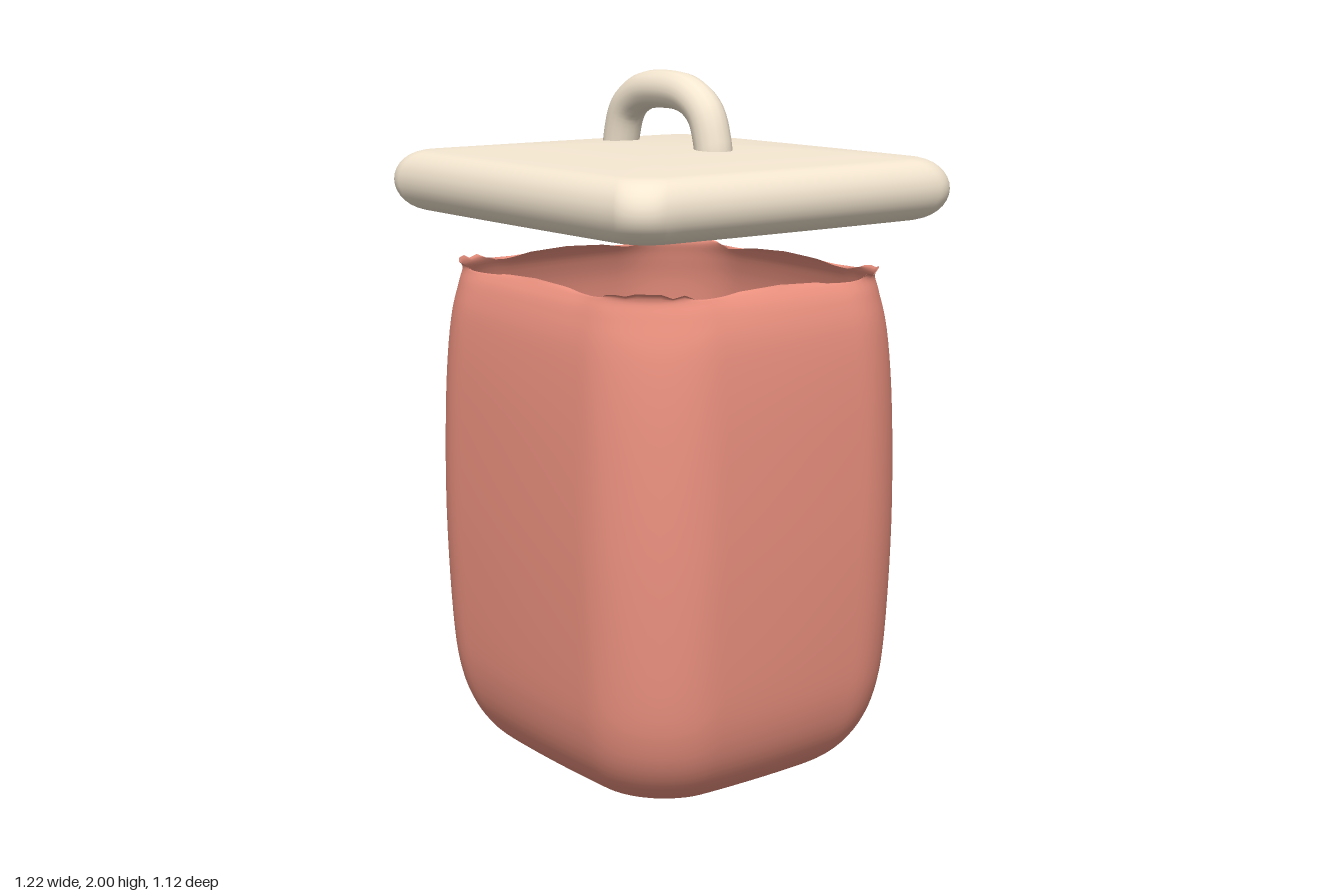
import * as THREE from 'three';

const clay = new THREE.MeshStandardMaterial({ color: 0xed9280, side: THREE.DoubleSide });
const cream = new THREE.MeshStandardMaterial({ color: 0xf5e7d1 });

// Rounded rectangle outline with slightly bowed sides, as [x, z] pairs
function outline(hx, hz, r, bow) {
  const pts = [];
  const corners = [[1, 1], [-1, 1], [-1, -1], [1, -1]];
  corners.forEach(([sx, sz], c) => {
    const cx = sx * (hx - r), cz = sz * (hz - r);
    for (let i = 0; i <= 12; i++) {
      const a = (c + i / 12) * Math.PI / 2;
      pts.push([cx + r * Math.cos(a), cz + r * Math.sin(a)]);
    }
    const [nx, nz] = corners[(c + 1) % 4];
    const a = (c + 1) * Math.PI / 2;
    const ex = nx * (hx - r) + r * Math.cos(a), ez = nz * (hz - r) + r * Math.sin(a);
    const [px, pz] = pts[pts.length - 1];
    for (let i = 1; i < 20; i++) pts.push([px + (ex - px) * i / 20, pz + (ez - pz) * i / 20]);
  });
  return pts.map(([x, z]) => [
    x * (1 - bow * (z / hz) ** 2),
    z * (1 - bow * (x / hx) ** 2),
  ]);
}

// Skin rings of [scale, y], listed bottom to top; warp gives [stretch, lift] per point
function loft(base, rings, warp = () => [1, 0]) {
  const pos = [], idx = [], n = base.length;
  rings.forEach(([s, y], k) => {
    for (const [x, z] of base) {
      const [stretch, lift] = warp(x, z, k);
      pos.push(x * s * stretch, y + lift, z * s * stretch);
    }
    if (k === 0) return;
    for (let i = 0; i < n; i++) {
      const j = (i + 1) % n, a = (k - 1) * n, b = k * n;
      idx.push(a + i, b + i, a + j, a + j, b + i, b + j);
    }
  });
  const geo = new THREE.BufferGeometry();
  geo.setAttribute('position', new THREE.Float32BufferAttribute(pos, 3));
  geo.setIndex(idx);
  geo.computeVertexNormals();
  return geo;
}

const smooth = (pts, count) =>
  new THREE.SplineCurve(pts.map(p => new THREE.Vector2(...p))).getPoints(count).map(p => [p.x, p.y]);

// Uneven height of the open rim, by distance from the middle of a side to the corner
const rimWave = [[0, 0.008], [0.3, 0.002], [0.53, -0.014], [0.6, -0.006], [0.68, 0.012], [0.73, 0.002], [0.78, 0.015], [1, 0.01]];
function rimOffset(t) {
  const i = rimWave.findIndex(([b], n) => n > 0 && t <= b);
  const [a, ya] = rimWave[i - 1], [b, yb] = rimWave[i];
  return ya + (yb - ya) * (t - a) / (b - a);
}

function mesh(name, geometry, material) {
  const m = new THREE.Mesh(geometry, material);
  m.name = name;
  return m;
}

export function createModel() {
  const group = new THREE.Group();
  group.name = 'lidded jar';

  // Open jar: flat-bottomed, bowed walls curling in at the rim, less so at the corners
  const HX = 0.575, HZ = 0.52;
  const wall = smooth([
    [0, 0.005], [0.3, 0.009], [0.57, 0.03], [0.75, 0.075], [0.87, 0.15], [0.945, 0.26], [0.98, 0.42],
    [1, 0.75], [0.99, 1.08], [0.96, 1.3], [0.915, 1.4], [0.87, 1.445], [0.845, 1.455],
  ], 60);
  const last = wall.length - 1;
  const body = loft(outline(HX, HZ, 0.25, 0.05), wall, (x, z, k) => {
    const t = Math.min(Math.abs(x) / HX, Math.abs(z) / HZ);
    const curl = Math.max(0, (k - last + 15) / 15) ** 2;
    const wave = Math.max(0, (k - last + 4) / 4);
    return [1 + 0.09 * curl * THREE.MathUtils.smoothstep(t, 0.4, 0.8), wave * rimOffset(t)];
  });
  group.add(mesh('jar body', body, clay));

  // Lid: pillow-shaped slab with a fully rounded edge
  const lid = new THREE.Group();
  lid.name = 'lid';
  const slab = [];
  for (let i = 0; i <= 8; i++) slab.push([0.868 * i / 8, 1.57 + 0.036 * (i / 8) ** 2]);
  for (let i = 1; i < 16; i++) {
    const a = -Math.PI / 2 + Math.PI * i / 16;
    slab.push([0.868 + 0.132 * Math.cos(a), 1.689 + 0.083 * Math.sin(a)]);
  }
  for (let i = 8; i >= 0; i--) slab.push([0.868 * i / 8, 1.8 - 0.028 * (i / 8) ** 2]);
  lid.add(mesh('lid slab', loft(outline(0.612, 0.558, 0.095, 0.01), slab), cream));

  // Arched handle sunk into the lid
  const half = [[0.214, 1.74], [0.206, 1.81], [0.175, 1.889], [0.105, 1.935]];
  const path = [
    ...half.map(([x, y]) => new THREE.Vector3(-x, y, 0)),
    new THREE.Vector3(0, 1.948, 0),
    ...half.slice().reverse().map(([x, y]) => new THREE.Vector3(x, y, 0)),
  ];
  lid.add(mesh('handle', new THREE.TubeGeometry(new THREE.CatmullRomCurve3(path), 40, 0.052, 16), cream));
  group.add(lid);

  return group;
}
